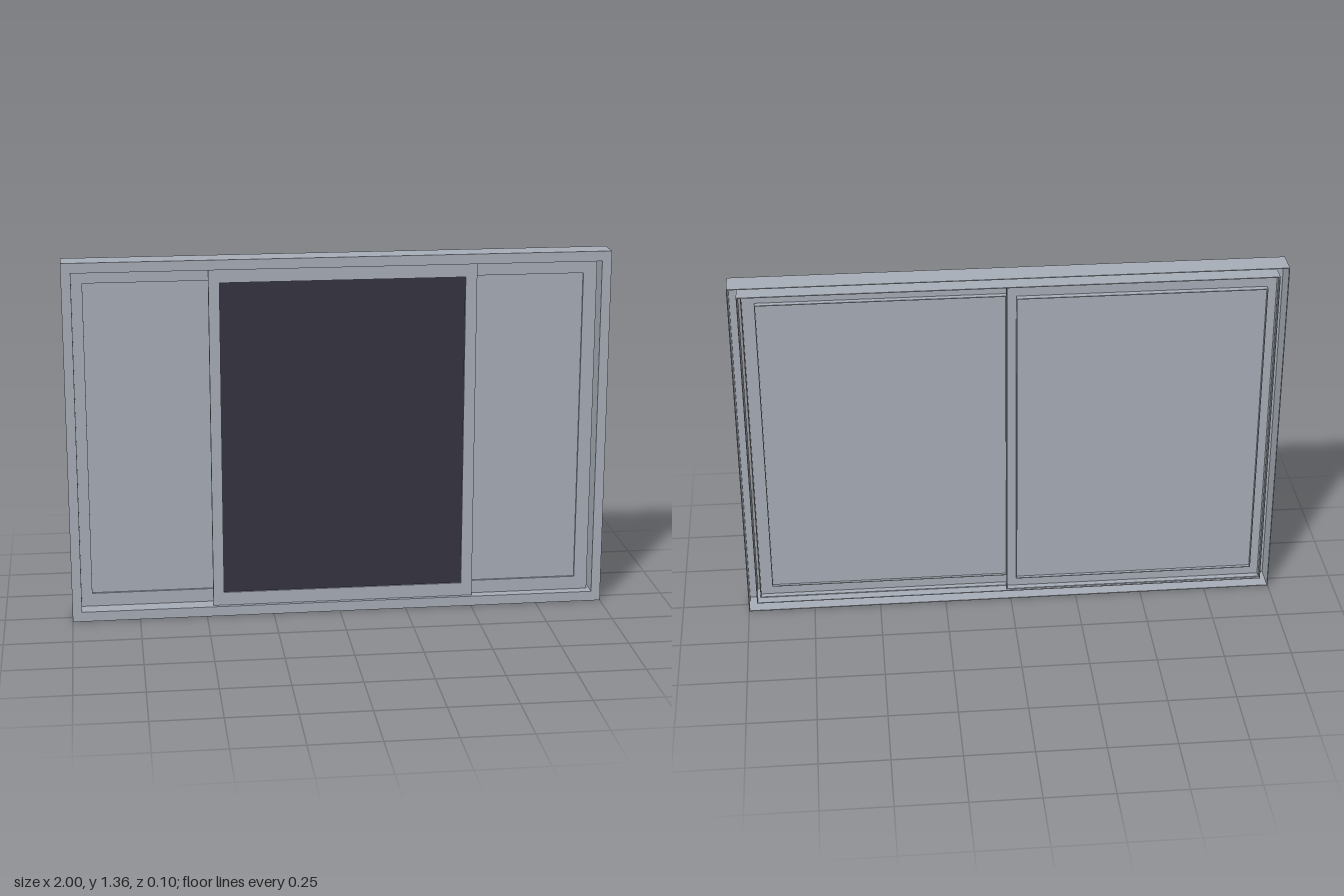
import * as THREE from 'three';

const metal = new THREE.MeshStandardMaterial({ color: 0xa8aeb8 });
metal.name = 'greyMetal';
const mesh = new THREE.MeshStandardMaterial({ color: 0x353340 });
mesh.name = 'darkScreen';

const WALL = 0.003;

// Rectangular ring: r = [x0, x1, y0, y1], border widths [sides left, right, rails], between z0 and z1
function ring(name, r, b, z0, z1) {
  const [x0, x1, y0, y1] = r;
  const [l, rt, v] = b;
  const shape = new THREE.Shape([
    new THREE.Vector2(x0, y0), new THREE.Vector2(x1, y0),
    new THREE.Vector2(x1, y1), new THREE.Vector2(x0, y1),
  ]);
  shape.holes.push(new THREE.Path([
    new THREE.Vector2(x0 + l, y0 + v), new THREE.Vector2(x0 + l, y1 - v),
    new THREE.Vector2(x1 - rt, y1 - v), new THREE.Vector2(x1 - rt, y0 + v),
  ]));
  const geo = new THREE.ExtrudeGeometry(shape, { depth: z1 - z0, bevelEnabled: false });
  geo.translate(0, 0, z0);
  const m = new THREE.Mesh(geo, metal);
  m.name = name;
  return m;
}

// Hollow channel border, open towards the back: front face, outer wall, inner wall
function channel(name, r, b, zBack, zFront) {
  const g = new THREE.Group();
  g.name = name;
  const [x0, x1, y0, y1] = r;
  const [l, rt, v] = b;
  const inner = [x0 + l - WALL, x1 - rt + WALL, y0 + v - WALL, y1 - v + WALL];
  const thin = [WALL, WALL, WALL];
  g.add(
    ring(name + 'Face', r, b, zFront - WALL, zFront),
    ring(name + 'OuterWall', r, thin, zBack, zFront - WALL),
    ring(name + 'InnerWall', inner, thin, zBack, zFront - WALL),
  );
  return g;
}

// Flat panel filling the opening of a border
function panel(name, r, b, z, mat) {
  const [x0, x1, y0, y1] = [r[0] + b[0], r[1] - b[1], r[2] + b[2], r[3] - b[2]];
  const m = new THREE.Mesh(new THREE.BoxGeometry(x1 - x0, y1 - y0, 0.006), mat);
  m.position.set((x0 + x1) / 2, (y0 + y1) / 2, z);
  m.name = name;
  return m;
}

export function createModel() {
  const root = new THREE.Group();
  root.name = 'slidingWindow';

  // Outer frame
  root.add(channel('outerFrame', [-1, 1, 0, 1.355], [0.035, 0.035, 0.037], -0.048, 0.049));

  // Two sliding sashes on separate tracks, and the insect screen in front
  const parts = [
    { name: 'rearSash', fill: 'rearPane', r: [-0.965, 0.015, 0.037, 1.318], b: [0.04, 0.04, 0.05], zb: -0.04, zf: -0.014, zp: -0.025, mat: metal },
    { name: 'frontSash', fill: 'frontPane', r: [-0.025, 0.955, 0.037, 1.318], b: [0.04, 0.05, 0.05], zb: -0.013, zf: 0.011, zp: 0, mat: metal },
    { name: 'screenFrame', fill: 'screenMesh', r: [-0.475, 0.505, 0.037, 1.318], b: [0.04, 0.042, 0.05], zb: 0.013, zf: 0.034, zp: 0.025, mat: mesh },
  ];
  for (const p of parts) {
    root.add(channel(p.name, p.r, p.b, p.zb, p.zf));
    root.add(panel(p.fill, p.r, p.b, p.zp, p.mat));
  }
  return root;
}
